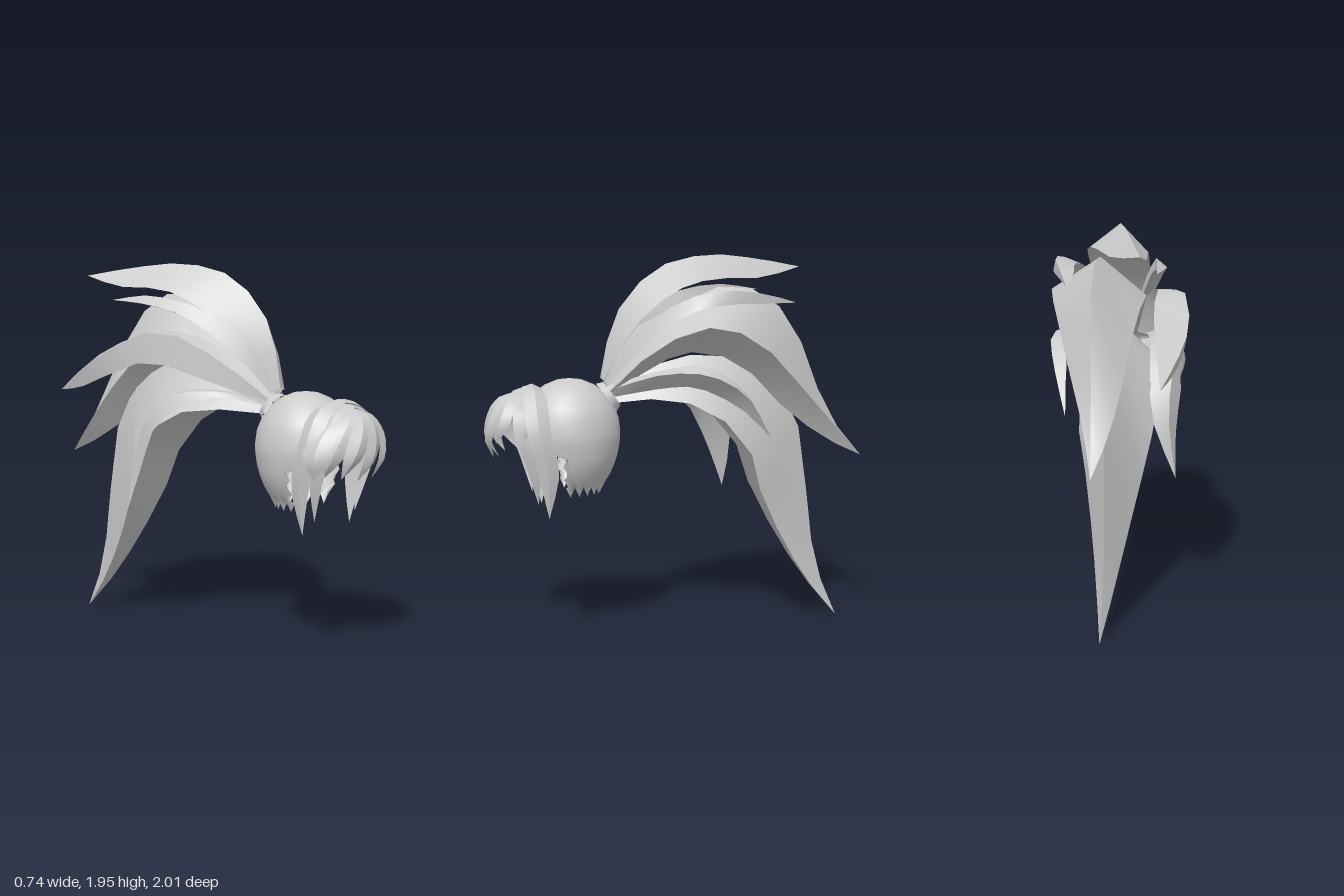
import * as THREE from 'three';
import { mergeGeometries } from 'three/addons/utils/BufferGeometryUtils.js';

const MID = 0.06; // x of the hair's own centre line
const material = new THREE.MeshStandardMaterial({ color: 0xcccccc, side: THREE.DoubleSide });

// Surface through a grid of points: at(row, col) gives a Vector3
function gridGeometry(rows, cols, at) {
  const pos = [], index = [];
  for (let i = 0; i <= rows; i++)
    for (let j = 0; j <= cols; j++) pos.push(...at(i, j).toArray());
  for (let i = 0; i < rows; i++)
    for (let j = 0; j < cols; j++) {
      const a = i * (cols + 1) + j, b = a + cols + 1;
      index.push(a, b, a + 1, a + 1, b, b + 1);
    }
  const g = new THREE.BufferGeometry();
  g.setAttribute('position', new THREE.Float32BufferAttribute(pos, 3));
  g.setIndex(index);
  g.computeVertexNormals();
  return g;
}

// Solid lock of hair: lengthwise rails meet in one tip, creased along each rail, last rail joins the first
function lock(name, tip, ...rails) {
  const n = 9;
  const curves = rails.map(r => new THREE.CatmullRomCurve3([...r, tip].map(p => new THREE.Vector3(...p))));
  const strips = curves.map((c, k) => {
    const next = curves[(k + 1) % curves.length];
    return gridGeometry(n, 1, (i, j) => (j ? next : c).getPoint(i / n));
  });
  const mesh = new THREE.Mesh(mergeGeometries(strips), material);
  mesh.name = name;
  return mesh;
}

const mirror = (pts, mid) => pts.map(([x, y, z]) => [2 * mid - x, y, z]);

// Rounded cap over the skull, open at the face, with a ragged lower edge
function scalp() {
  const rows = 14, cols = 48;
  const g = gridGeometry(rows, cols, (i, j) => {
    const low = Math.max(0, (i - 5) / (rows - 5));
    let y = i <= 6 ? 1.06 + 0.27 * Math.cos(i / 6 * Math.PI / 2) : 1.06 - 0.3 * (i - 6) / (rows - 6);
    const r = Math.sqrt(1 - ((y - 1.06) / (y > 1.06 ? 0.27 : 0.37)) ** 2);
    if (i === rows) y += 0.025 * (Math.abs(j % 4 - 2) - 1);
    const notch = j % cols === 0 && low > 0.4 ? (i % 2) * 0.14 : 0;
    const span = Math.PI * (1 - 0.42 * Math.min(1, low * 2.2)) - notch;
    const a = (j / cols * 2 - 1) * span;
    return new THREE.Vector3(MID + 0.25 * r * Math.sin(a), y, 0.57 - 0.26 * r * Math.cos(a));
  });
  const mesh = new THREE.Mesh(g, material);
  mesh.name = 'scalp';
  return mesh;
}

// Fringe: locks swept over a dome from the crown parting towards one side of the brow
function fringe() {
  const group = new THREE.Group();
  group.name = 'fringe';
  const rad = Math.PI / 180;
  const dome = (az, el, k) => [
    MID + 0.235 * k * Math.sin(az * rad) * Math.cos(el * rad),
    1.05 + 0.215 * Math.sin(el * rad),
    0.75 + 0.245 * k * Math.cos(az * rad) * Math.cos(el * rad) + 0.08 * Math.max(0, Math.sin(el * rad)) ** 2];
  // start azimuth, tip azimuth, tip elevation, half width, flare
  const locks = [
    [-76, -80, -33, 20, 1.33], [-46, -74, -33, 19, 1.08], [-20, -50, -32, 18, 1.05], [4, -24, -38, 17, 1.0],
    [27, 0, -35, 17, 1.04], [52, 32, -8, 18, 1.0], [80, 72, -3, 19, 1.05]];
  locks.forEach(([a0, a1, el, w, k], n) => {
    const rail = (side, lift) => [0, 0.25, 0.5, 0.75].map(t =>
      dome(a0 + (a1 - a0) * t * t + side * w * (1 - t * t * 0.6), 86 + (el - 86) * t, 1 + (k - 1) * t * t + lift * t));
    group.add(lock('fringeLock' + (n + 1), dome(a1, el, k), rail(-1, 0), rail(0, 0.07), rail(1, -0.04)));
  });
  return group;
}

// Long locks framing the face, mirrored to both sides
function sideLocks() {
  const group = new THREE.Group();
  group.name = 'sideLocks';
  const specs = [
    ['Outer', [0.27, 0.64, 0.70],
      [[0.06, 1.29, 0.81], [0.2, 1.25, 0.82], [0.3, 1.1, 0.81], [0.3, 0.9, 0.76]],
      [[0.06, 1.305, 0.76], [0.22, 1.27, 0.76], [0.325, 1.1, 0.75], [0.32, 0.9, 0.71]],
      [[0.06, 1.28, 0.71], [0.22, 1.24, 0.7], [0.305, 1.08, 0.69], [0.3, 0.88, 0.65]]],
    ['Inner', [0.24, 0.71, 0.75],
      [[0.06, 1.27, 0.86], [0.19, 1.22, 0.87], [0.26, 1.08, 0.87], [0.27, 0.93, 0.82]],
      [[0.06, 1.285, 0.82], [0.2, 1.24, 0.83], [0.285, 1.09, 0.83], [0.285, 0.92, 0.79]],
      [[0.06, 1.28, 0.79], [0.2, 1.23, 0.79], [0.28, 1.08, 0.78], [0.27, 0.9, 0.74]]]];
  for (const [name, tip, ...rails] of specs)
    group.add(lock('left' + name + 'Lock', tip, ...rails),
      lock('right' + name + 'Lock', mirror([tip], MID)[0], ...rails.map(r => mirror(r, MID))));
  return group;
}

// Ponytail: big curved locks fanning out from the tie
function ponytail() {
  const group = new THREE.Group();
  group.name = 'ponytail';
  const longEdge = [[0.1, 1.2, 0.36], [0.15, 1.22, 0.1], [0.2, 1.16, -0.14], [0.19, 0.95, -0.35],
    [0.14, 0.7, -0.43], [0.085, 0.43, -0.57], [0.045, 0.22, -0.7]];
  const longOther = mirror(longEdge, 0);
  longOther[0] = [0.02, 1.2, 0.36];
  group.add(
    lock('topLock', [-0.17, 1.88, -0.7],
      [[0, 1.32, 0.4], [-0.09, 1.6, 0.22], [-0.12, 1.75, 0], [-0.14, 1.82, -0.2], [-0.17, 1.83, -0.48]],
      [[0.06, 1.33, 0.41], [0.07, 1.65, 0.33], [0.05, 1.88, 0.12], [0, 1.95, -0.15], [-0.08, 1.93, -0.42]],
      [[0.11, 1.32, 0.4], [0.2, 1.6, 0.25], [0.21, 1.77, 0.05], [0.15, 1.83, -0.15], [0, 1.83, -0.45]]),
    lock('middleLock', [0.02, 0.88, -1],
      [[0, 1.25, 0.37], [-0.08, 1.5, 0.15], [-0.12, 1.58, -0.1], [-0.1, 1.5, -0.35], [-0.08, 1.27, -0.62], [-0.04, 1.05, -0.83]],
      [[0.06, 1.3, 0.38], [0.08, 1.6, 0.15], [0.1, 1.79, -0.2], [0.1, 1.75, -0.45], [0.07, 1.5, -0.65], [0.05, 1.13, -0.8]],
      [[0.12, 1.26, 0.37], [0.33, 1.5, 0.15], [0.37, 1.6, -0.1], [0.3, 1.53, -0.35], [0.18, 1.28, -0.62], [0.08, 1.06, -0.83]],
      [[0.08, 1.22, 0.37], [0.15, 1.4, 0.13], [0.15, 1.46, -0.05], [0.13, 1.4, -0.3], [0.08, 1.18, -0.53], [0.04, 0.99, -0.78]]),
    lock('longLock', [0, 0, -0.88], longOther,
      [[0.06, 1.28, 0.37], [0.05, 1.4, 0.1], [0.04, 1.44, -0.2], [0.02, 1.33, -0.5], [0.01, 1, -0.67], [0, 0.55, -0.72], [0, 0.26, -0.775]],
      longEdge),
    lock('rightLock', [-0.28, 1.27, -0.8],
      [[0.02, 1.31, 0.39], [-0.07, 1.5, 0.2], [-0.17, 1.61, -0.05], [-0.19, 1.57, -0.35], [-0.23, 1.45, -0.6]],
      [[0, 1.28, 0.38], [-0.15, 1.49, 0.15], [-0.3, 1.62, -0.1], [-0.37, 1.5, -0.4], [-0.34, 1.38, -0.62]],
      [[0, 1.25, 0.37], [-0.19, 1.38, 0.1], [-0.32, 1.46, -0.15], [-0.35, 1.38, -0.4], [-0.32, 1.3, -0.62]]),
    lock('upperRightLock', [-0.22, 1.76, -0.48],
      [[0.03, 1.32, 0.4], [-0.04, 1.56, 0.3], [-0.14, 1.73, 0.05], [-0.19, 1.79, -0.25]],
      [[0, 1.31, 0.39], [-0.1, 1.5, 0.25], [-0.2, 1.69, 0], [-0.24, 1.75, -0.25]],
      [[0.02, 1.31, 0.38], [-0.05, 1.5, 0.24], [-0.13, 1.67, 0], [-0.19, 1.74, -0.25]]),
    lock('upperLeftLock', [0.2, 1.71, -0.59],
      [[0.08, 1.31, 0.39], [0.16, 1.58, 0.25], [0.22, 1.71, 0], [0.23, 1.75, -0.2], [0.2, 1.74, -0.4]],
      [[0.1, 1.31, 0.39], [0.2, 1.57, 0.24], [0.3, 1.74, 0], [0.33, 1.78, -0.18], [0.27, 1.76, -0.4]],
      [[0.12, 1.29, 0.38], [0.27, 1.5, 0.22], [0.36, 1.67, 0], [0.34, 1.71, -0.2], [0.27, 1.71, -0.4]]),
    lock('leftLock', [0.24, 1.02, -0.45],
      [[0.1, 1.29, 0.38], [0.2, 1.37, 0.13], [0.28, 1.4, -0.1], [0.26, 1.27, -0.3]],
      [[0.12, 1.27, 0.37], [0.28, 1.36, 0.12], [0.37, 1.36, -0.1], [0.32, 1.24, -0.31]],
      [[0.1, 1.23, 0.36], [0.2, 1.28, 0.12], [0.26, 1.29, -0.05], [0.27, 1.18, -0.28]]),
    lock('lowerRightLock', [-0.3, 0.68, -0.31],
      [[0.02, 1.28, 0.37], [-0.1, 1.32, 0.13], [-0.14, 1.28, -0.12], [-0.18, 1, -0.32]],
      [[0, 1.27, 0.37], [-0.18, 1.32, 0.14], [-0.26, 1.26, -0.13], [-0.26, 0.99, -0.29]],
      [[0, 1.24, 0.37], [-0.2, 1.29, 0.15], [-0.3, 1.15, -0.1], [-0.29, 0.92, -0.22]]));
  return group;
}

export function createModel() {
  const model = new THREE.Group();
  model.name = 'ponytailHair';
  // Band holding the ponytail
  const tie = new THREE.Mesh(new THREE.CylinderGeometry(0.075, 0.09, 0.035, 20, 1, true), material);
  tie.name = 'hairTie';
  tie.position.set(MID, 1.235, 0.365);
  tie.rotation.x = -0.94;
  model.add(scalp(), fringe(), sideLocks(), tie, ponytail());
  return model;
}
